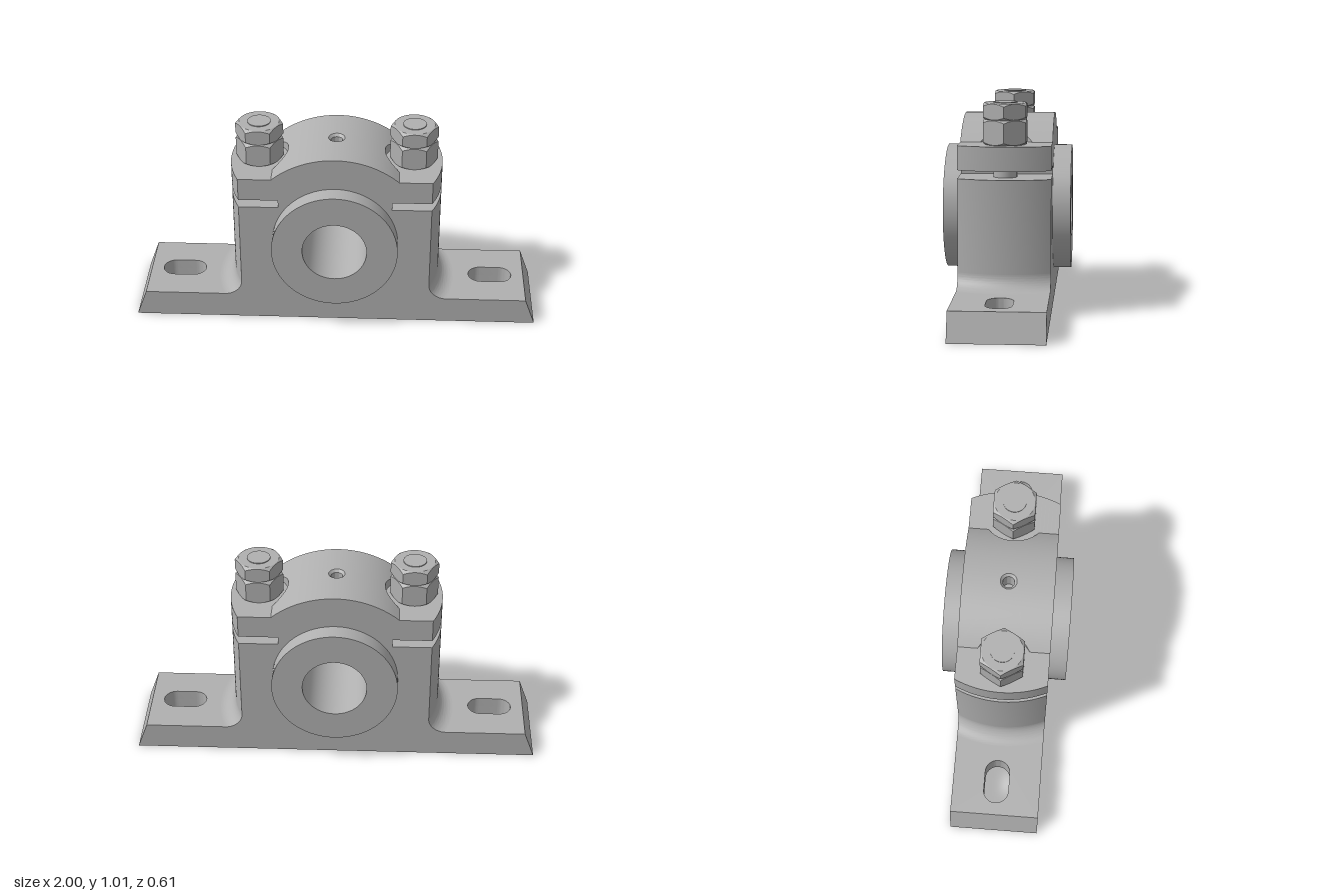
import * as THREE from 'three';
import { toCreasedNormals } from 'three/addons/utils/BufferGeometryUtils.js';

const HALF_DEPTH = 0.22;
const BORE_Y = 0.46;
const BOLT_X = 0.375;

// Skins closed loops of [x, y, z]; loops run counter-clockwise seen from above.
function loft(loops) {
  const n = loops[0].length, index = [];
  for (let i = 0; i < loops.length - 1; i++) {
    for (let j = 0; j < n; j++) {
      const k = (j + 1) % n;
      const a = i * n + j, b = i * n + k, c = a + n, d = b + n;
      index.push(a, c, d, a, d, b);
    }
  }
  const g = new THREE.BufferGeometry();
  g.setAttribute('position', new THREE.Float32BufferAttribute(loops.flat(2), 3));
  g.setIndex(index);
  return toCreasedNormals(g, 0.5);
}

function moveVertices(g, rule) {
  const p = g.attributes.position, v = new THREE.Vector3();
  for (let i = 0; i < p.count; i++) {
    v.fromBufferAttribute(p, i);
    rule(v);
    p.setXYZ(i, v.x, v.y, v.z);
  }
  return toCreasedNormals(g, 0.5);
}

// Base plate layer with sloped ends, slots and optional counterbores
function plateLayer(y0, y1, counterbores) {
  const s = new THREE.Shape();
  s.moveTo(-1, -HALF_DEPTH).lineTo(1, -HALF_DEPTH).lineTo(1, HALF_DEPTH).lineTo(-1, HALF_DEPTH);
  for (const side of [-1, 1]) {
    const slot = new THREE.Path(), x = side * 0.78;
    slot.absarc(x + 0.047, 0, 0.062, -Math.PI / 2, Math.PI / 2);
    slot.absarc(x - 0.047, 0, 0.062, Math.PI / 2, Math.PI * 1.5);
    s.holes.push(slot);
    if (counterbores) s.holes.push(new THREE.Path().absarc(side * BOLT_X, 0, 0.122, 0, Math.PI * 2));
  }
  const g = new THREE.ExtrudeGeometry(s, { depth: y1 - y0, bevelEnabled: false, curveSegments: 20 });
  g.rotateX(-Math.PI / 2).translate(0, y0, 0);
  return moveVertices(g, v => {
    if (Math.abs(v.x) > 0.95) v.x = Math.sign(v.x) * (1 - 0.05 * v.y / 0.135);
  });
}

// Pedestal and clamp cap, with the split gaps and ends rounded in plan
function housing() {
  const s = new THREE.Shape();
  s.moveTo(-0.595, 0.135).lineTo(0.595, 0.135);
  s.absarc(0.595, 0.215, 0.08, -Math.PI / 2, -Math.PI, true);
  const side = [[0.515, 0.655], [0.275, 0.655], [0.275, 0.695], [0.515, 0.695], [0.515, 0.81]];
  side.forEach(([x, y]) => s.lineTo(x, y));
  side.reverse().forEach(([x, y]) => s.lineTo(-x, y));
  s.absarc(-0.595, 0.215, 0.08, 0, -Math.PI / 2, true);
  s.holes.push(new THREE.Path().absarc(0, BORE_Y, 0.18, 0, Math.PI * 2));
  const g = new THREE.ExtrudeGeometry(s, {
    depth: 2 * HALF_DEPTH, steps: 24, bevelEnabled: false, curveSegments: 16,
  });
  g.translate(0, 0, -HALF_DEPTH);
  return moveVertices(g, v => {
    if (Math.abs(v.x) > 0.5) v.x = Math.sign(v.x) * Math.sqrt(v.x * v.x - v.z * v.z);
  });
}

// Arched crown with round nut pockets and an oil hole
function crown() {
  const angles = Array.from({ length: 360 }, (_, i) => i * Math.PI / 180);
  const arch = x => BORE_Y + Math.sqrt(0.465 ** 2 - x * x);
  const outline = t => {
    const c = Math.abs(Math.cos(t)), s = Math.abs(Math.sin(t));
    let r = Math.min(0.306 / Math.max(c, 1e-6), HALF_DEPTH / Math.max(s, 1e-6));
    const hit = 0.14 ** 2 - (BOLT_X * s) ** 2;
    if (hit > 0) r = Math.min(r, BOLT_X * c - Math.sqrt(hit));
    return r;
  };
  const ring = (radius, height) => angles.map(t => {
    const r = radius(t), x = r * Math.cos(t);
    return [x, height(x), -r * Math.sin(t)];
  });
  const loops = [
    ring(() => 0.001, () => 0.815),
    ring(() => 0.028, () => 0.815),
    ring(() => 0.028, () => 0.912),
  ];
  for (let i = 0; i <= 12; i++) loops.push(ring(t => 0.04 + (outline(t) - 0.04) * i / 12, arch));
  loops.push(ring(outline, () => 0.805));
  return loft(loops);
}

// Hexagon nut with conical chamfers on both ends
function nut(y0, y1) {
  const flat = 0.1005, n = 72;
  const ring = (radius, height) => Array.from({ length: n }, (_, i) => {
    const t = i * 2 * Math.PI / n;
    const local = (t % (Math.PI / 3) + Math.PI / 3) % (Math.PI / 3);
    const hex = flat / Math.cos(Math.min(local, Math.PI / 3 - local));
    const r = radius ?? hex;
    return [r * Math.cos(t), height(hex), -r * Math.sin(t)];
  });
  const drop = h => 0.002 + (h - flat) * 0.75;
  return loft([
    ring(0.001, () => y1), ring(0.097, () => y1), ring(null, h => y1 - drop(h)),
    ring(null, h => y0 + drop(h)), ring(0.097, () => y0), ring(0.001, () => y0),
  ]);
}

// Bearing sleeve through the housing
function sleeve() {
  const half = 0.306;
  const profile = [[0.156, -half], [0.306, -half], [0.306, half], [0.156, half], [0.156, -half]]
    .map(([r, y]) => new THREE.Vector2(r, y));
  const g = new THREE.LatheGeometry(profile, 80);
  g.rotateX(Math.PI / 2).translate(0, BORE_Y, 0);
  return toCreasedNormals(g, 0.5);
}

export function createModel() {
  const model = new THREE.Group();
  model.name = 'pillowBlockBearing';
  const steel = new THREE.MeshStandardMaterial({ color: 0xb0b0b0 });
  steel.name = 'grey steel';

  const add = (parent, name, geometry) => {
    const mesh = new THREE.Mesh(geometry, steel);
    mesh.name = name;
    parent.add(mesh);
    return mesh;
  };

  add(model, 'basePlateLower', plateLayer(0, 0.085, true));
  add(model, 'basePlateUpper', plateLayer(0.085, 0.135, false));
  add(model, 'housing', housing());
  add(model, 'capCrown', crown());
  add(model, 'bearingSleeve', sleeve());

  // Studs with a nut and a lock nut on each side
  for (const side of [-1, 1]) {
    const bolt = new THREE.Group();
    bolt.name = side > 0 ? 'leftBolt' : 'rightBolt';
    bolt.position.x = side * BOLT_X;
    add(bolt, 'stud', new THREE.CylinderGeometry(0.056, 0.056, 0.37, 32)).position.y = 0.825;
    add(bolt, 'clampNut', nut(0.81, 0.928));
    add(bolt, 'lockNut', nut(0.928, 1.006));
    // Corners point to the front and back
    bolt.rotation.y = Math.PI / 6;
    model.add(bolt);
  }
  return model;
}
